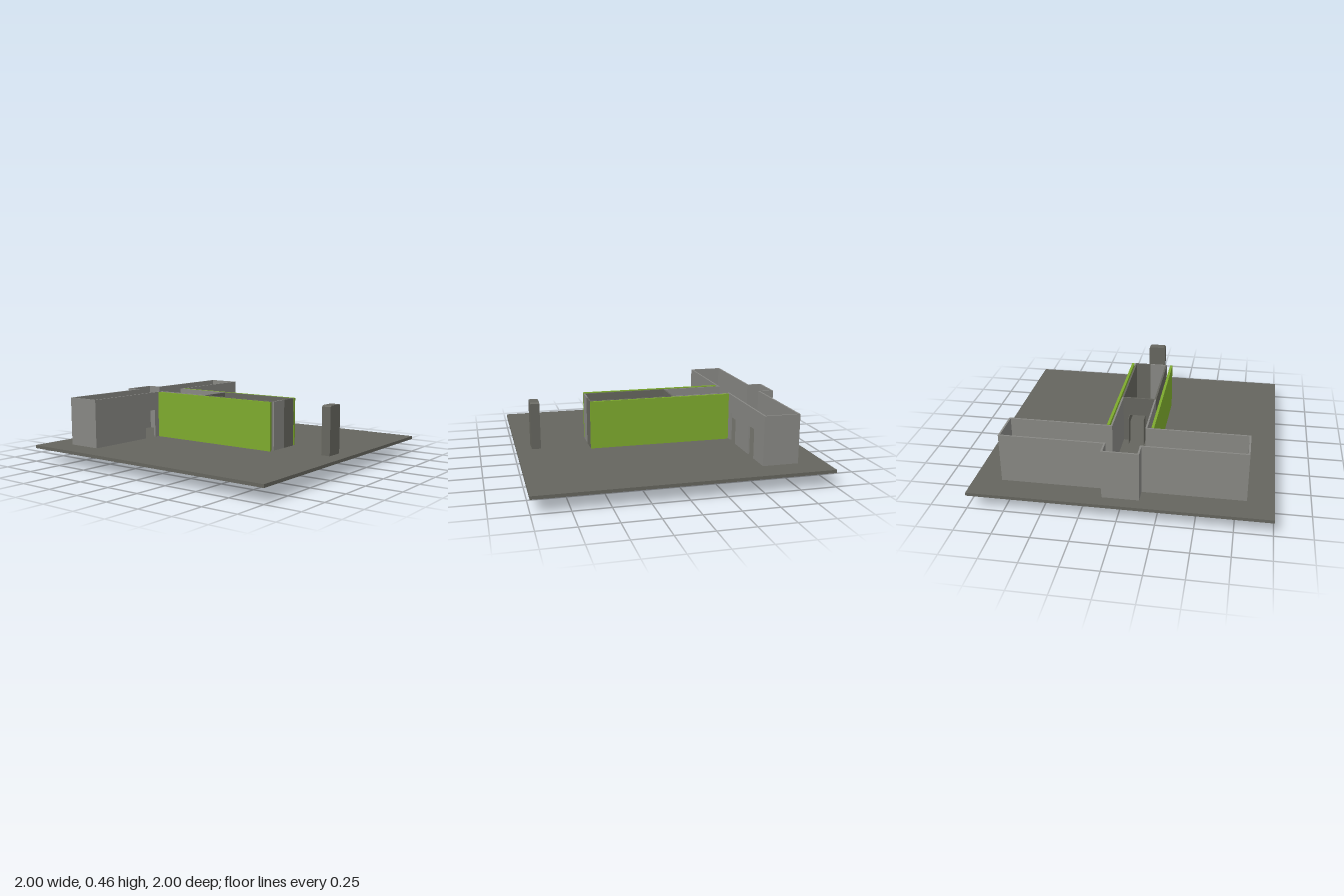
import * as THREE from 'three';

const material = (name, color) => {
  const m = new THREE.MeshStandardMaterial({ color });
  m.name = name;
  return m;
};

export function createModel() {
  const stone = material('light stone', 0x878783);
  const dark = material('dark stone', 0x65655e);
  const green = material('green', 0x7daa2d);
  const purple = material('purple', 0xbc8ac8);

  const root = new THREE.Group();
  root.name = 'crossPlanBuilding';

  // Box given by its limits along each axis
  const block = (name, mat, x0, x1, y0, y1, z0, z1) => {
    const mesh = new THREE.Mesh(new THREE.BoxGeometry(x1 - x0, y1 - y0, z1 - z0), mat);
    mesh.position.set((x0 + x1) / 2, (y0 + y1) / 2, (z0 + z1) / 2);
    mesh.name = name;
    root.add(mesh);
    return mesh;
  };

  const floor = 0.118, top = 0.46, doorTop = 0.325, t = 0.012;
  const wall = (name, mat, x0, x1, z0, z1) => block(name, mat, x0, x1, floor, top, z0, z1);

  // Wall of constant x with door openings, each given as [z0, z1]
  const wallWithDoors = (name, mat, x0, x1, z0, z1, doors) => {
    const shape = new THREE.Shape();
    shape.moveTo(-z0, floor);
    for (const [a, b] of doors) {
      shape.lineTo(-a, floor);
      shape.lineTo(-a, doorTop);
      shape.lineTo(-b, doorTop);
      shape.lineTo(-b, floor);
    }
    shape.lineTo(-z1, floor);
    shape.lineTo(-z1, top);
    shape.lineTo(-z0, top);
    shape.closePath();
    const geo = new THREE.ExtrudeGeometry(shape, { depth: x1 - x0, bevelEnabled: false });
    geo.rotateY(Math.PI / 2);
    const mesh = new THREE.Mesh(geo, mat);
    mesh.position.x = x0;
    mesh.name = name;
    root.add(mesh);
  };

  // Ground slab
  block('ground', dark, -1, 1, 0.096, floor, -1, 1);

  // Transept
  const xW = -0.81, xE = -0.558, zN = -0.81, zS = 0.822, nN = -0.11, nS = 0.137;
  wall('transeptBackEnd', stone, xW, xE, zN, zN + t);
  wall('transeptFrontEnd', stone, xW, xE, zS - t, zS);
  wall('transeptOuterBack', stone, xW, xW + t, zN + t, nN + t);
  wall('transeptOuterFront', stone, xW, xW + t, nS - t, zS - t);
  wallWithDoors('transeptInnerBack', stone, xE - t, xE, zN + t, nN + t, [[-0.635, -0.53], [-0.275, -0.17]]);
  wallWithDoors('transeptInnerFront', stone, xE - t, xE, nS - t, zS - t, [[0.215, 0.32]]);

  // Square apse
  wall('apseEnd', stone, -0.912, -0.912 + t, nN, nS);
  wall('apseBack', stone, -0.912 + t, xW, nN, nN + t);
  wall('apseFront', stone, -0.912 + t, xW, nS - t, nS);

  // Nave and the chamber beyond it
  const xC = -0.13, xEnd = 0.483;
  for (const [side, z] of [['Back', nN], ['Front', nS - t]]) {
    wall('nave' + side, stone, xE, xC, z, z + t);
    wall('chamber' + side, dark, xC, xEnd - t, z, z + t);
  }
  wallWithDoors('chamberPartition', dark, xC - t / 2, xC + t / 2, nN + t, nS - t, [[-0.055, 0.06]]);
  wall('chamberEndDark', dark, xEnd - t, xEnd, nN, 0.01);
  wall('chamberEndLight', stone, xEnd - t, xEnd, 0.01, nS);

  // Open door leaves
  for (const z of [-0.055, 0.055]) block('doorLeaf', dark, -0.2, xC - t / 2, floor, doorTop, z, z + 0.005);

  // Green side panels
  for (const z of [-0.137, 0.163]) wall('greenPanel', green, -0.552, 0.48, z, z + 0.018);

  // Free-standing pillar with clipped upper corners
  const c = 0.012, p0 = -0.078, p1 = 0.05;
  const profile = new THREE.Shape([[p0, floor], [p1, floor], [p1, top - c], [p1 - c, top - 0.003],
    [p0 + c, top - 0.003], [p0, top - c]].map(([a, b]) => new THREE.Vector2(a, b)));
  const pillarGeo = new THREE.ExtrudeGeometry(profile, { depth: 0.065, bevelEnabled: false });
  pillarGeo.rotateY(Math.PI / 2);
  const pillar = new THREE.Mesh(pillarGeo, dark);
  pillar.position.x = 0.828;
  pillar.name = 'pillar';
  root.add(pillar);

  // Purple bars below the slab
  const bars = [
    [-0.588, -0.54, 0.14, 0.215],
    [-0.588, -0.54, -0.17, -0.094],
    [-0.588, -0.54, -0.53, -0.275],
    [-0.54, -0.51, -0.094, 0.13],
    [-0.51, -0.14, -0.094, -0.078],
  ];
  for (const [x0, x1, z0, z1] of bars) block('lowerBar', purple, x0, x1, 0, 0.053, z0, z1);

  return root;
}
